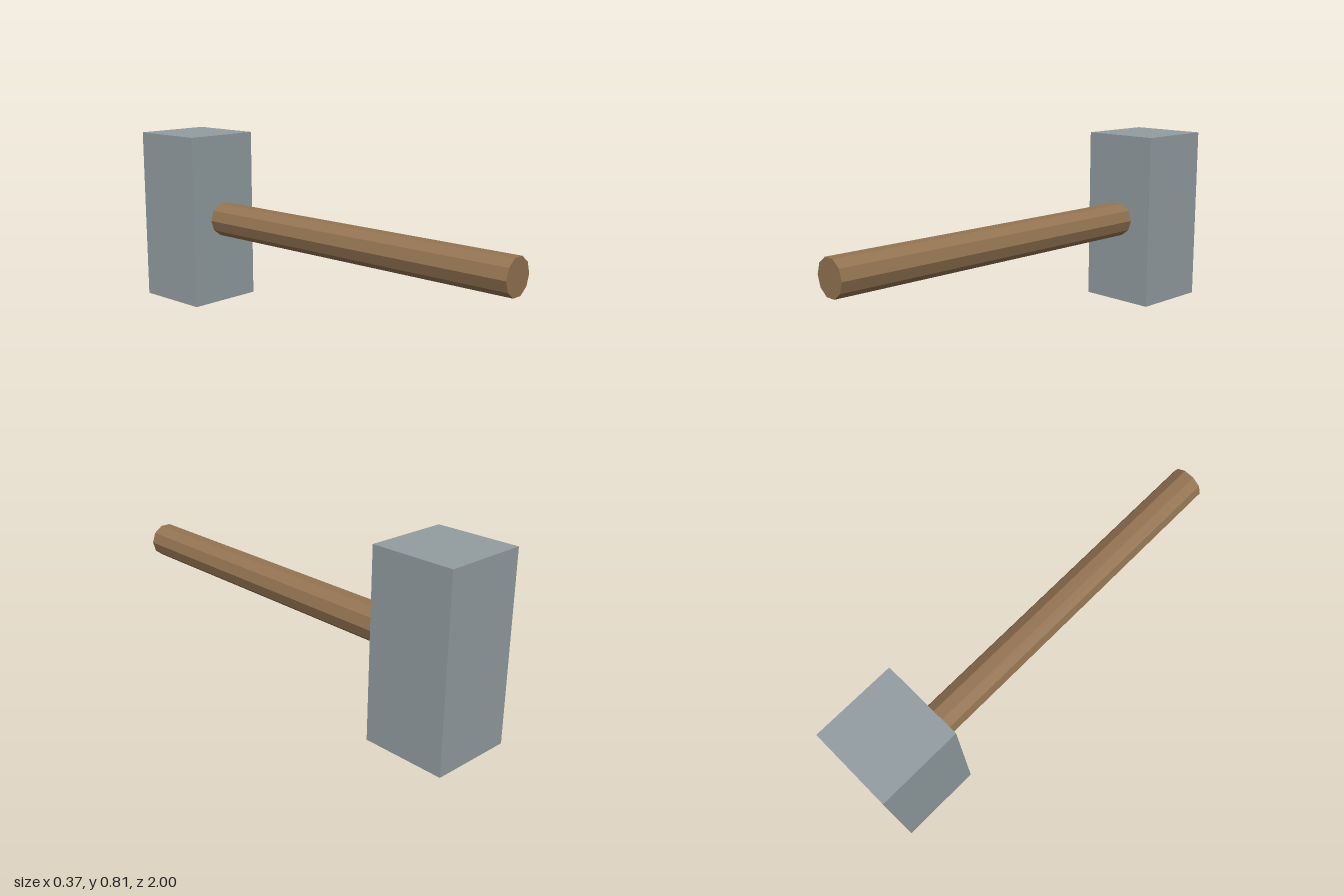
import * as THREE from 'three';

export function createModel() {
  const steel = new THREE.MeshStandardMaterial({ color: 0x929da1 });
  steel.name = 'steel grey';
  const wood = new THREE.MeshStandardMaterial({ color: 0x947452 });
  wood.name = 'wood brown';
  wood.flatShading = true;

  const model = new THREE.Group();
  model.name = 'hammer';
  const centreY = 0.407;

  // Upright block head at the back
  const headDepth = 0.373;
  const head = new THREE.Mesh(new THREE.BoxGeometry(0.373, centreY * 2, headDepth), steel);
  head.name = 'head';
  head.position.set(0, centreY, -1 + headDepth / 2);
  model.add(head);

  // Ten-sided handle running forward, with corners to left and right, set slightly into the head
  const handleBack = -0.64;
  const length = 1 - handleBack;
  const handleGeometry = new THREE.CylinderGeometry(0.081, 0.081, length, 10, 1, false, Math.PI / 2);
  handleGeometry.rotateX(Math.PI / 2);
  const handle = new THREE.Mesh(handleGeometry, wood);
  handle.name = 'handle';
  handle.position.set(0, centreY, 1 - length / 2);
  model.add(handle);

  return model;
}
